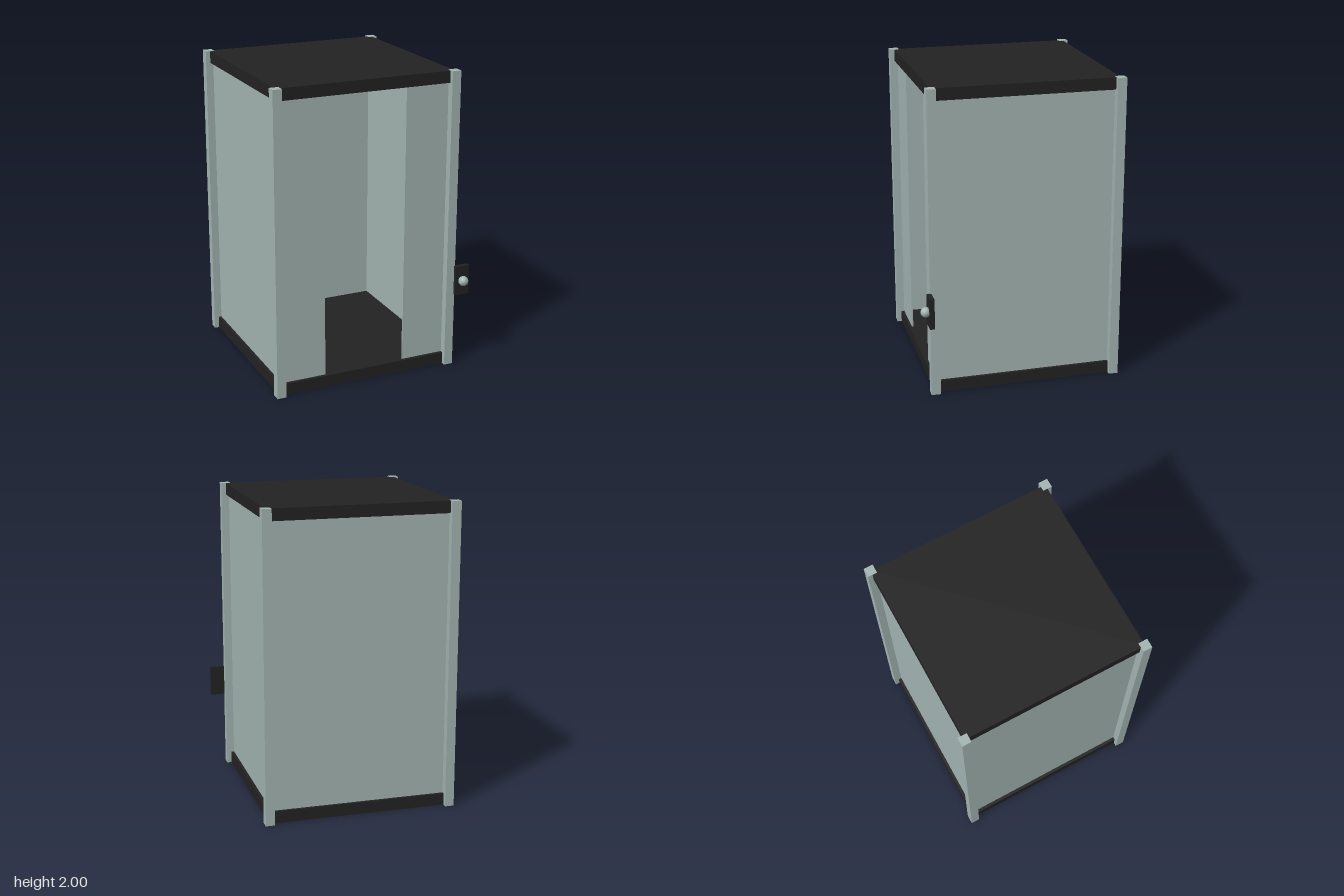
import * as THREE from 'three';

export function createModel() {
  const model = new THREE.Group();
  const frame = new THREE.MeshStandardMaterial({ name: 'pale grey green', color: 0xa3b5b2 });
  const dark = new THREE.MeshStandardMaterial({ name: 'near black', color: 0x222222 });

  const add = (name, geometry, material, x, y, z) => {
    const mesh = new THREE.Mesh(geometry, material);
    mesh.name = name;
    mesh.position.set(x, y, z);
    model.add(mesh);
  };
  const box = (name, material, w, h, d, x, y, z) =>
    add(name, new THREE.BoxGeometry(w, h, d), material, x, y, z);

  // The booth is square; its axis sits off centre because of the handle
  const cx = -0.048, cz = -0.035, half = 0.599, post = 0.06;
  const slab = 0.077, wall = 0.01, inset = 0.02;

  // Corner posts
  for (const sx of [-1, 1]) for (const sz of [-1, 1]) {
    box(`${sz > 0 ? 'front' : 'back'}${sx > 0 ? 'Left' : 'Right'}Post`, frame,
      post, 2, post, cx + sx * half, 1, cz + sz * half);
  }

  // Floor and roof, a hair inside the post ends
  box('floor', dark, half * 2, slab, half * 2, cx, 0.002 + slab / 2, cz);
  box('roof', dark, half * 2, slab, half * 2, cx, 1.998 - slab / 2, cz);

  // Side and back walls
  const wallH = 2 - 2 * slab, wallPos = half - inset - wall / 2;
  const span = 2 * half - post;
  for (const s of [-1, 1]) {
    box(s > 0 ? 'leftWall' : 'rightWall', frame, wall, wallH, span, cx + s * wallPos, 1, cz);
  }
  box('backWall', frame, span, wallH, wall, cx, 1, cz - wallPos);

  // Front panels on each side of the doorway
  const doorHalf = 0.277;
  const panelW = half - post / 2 - doorHalf;
  for (const s of [-1, 1]) {
    box(s > 0 ? 'frontLeftPanel' : 'frontRightPanel', frame, panelW, wallH, wall,
      cx + s * (doorHalf + panelW / 2), 1, cz + wallPos);
  }

  // Control plate with its round button
  box('buttonPlate', dark, 0.1, 0.2, 0.03, 0.625, 0.6, 0.6);
  add('button', new THREE.SphereGeometry(0.033, 24, 16), frame, 0.625, 0.6, 0.632);

  return model;
}
